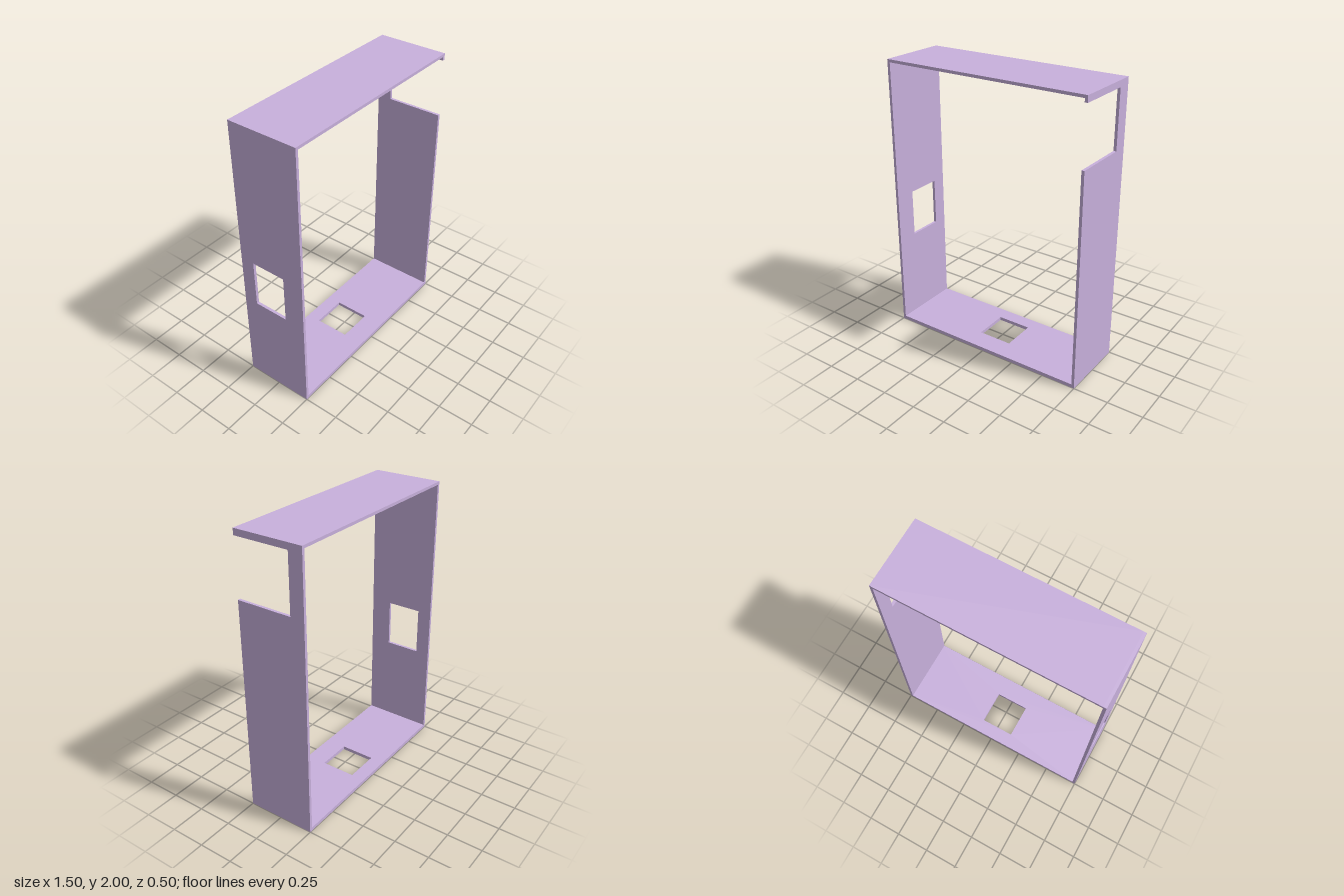
import * as THREE from 'three';

const W = 0.75, H = 2, D = 0.25, T = 0.02, FLOOR = 0.025;
const material = new THREE.MeshStandardMaterial({ color: 0xc8b0dc });

// Rectangle path from two corners
function rect(path, u0, v0, u1, v1) {
  path.moveTo(u0, v0);
  path.lineTo(u1, v0);
  path.lineTo(u1, v1);
  path.lineTo(u0, v1);
  path.closePath();
  return path;
}

// Flat rectangular plate with an optional rectangular hole
function plate(name, outer, hole, thickness) {
  const shape = rect(new THREE.Shape(), ...outer);
  if (hole) shape.holes.push(rect(new THREE.Path(), ...hole));
  const geometry = new THREE.ExtrudeGeometry(shape, { depth: thickness, bevelEnabled: false });
  const mesh = new THREE.Mesh(geometry, material);
  mesh.name = name;
  return mesh;
}

// Upright side plate: outline in (-z, y), thickness along +x from x0
function sidePlate(name, x0, [zBack, y0, zFront, y1], hole) {
  const flip = ([b, lo, f, hi]) => [-f, lo, -b, hi];
  const mesh = plate(name, flip([zBack, y0, zFront, y1]), hole && flip(hole), T);
  mesh.rotation.y = Math.PI / 2;
  mesh.position.x = x0;
  return mesh;
}

// Level plate: outline in (x, -z), thickness along +y from y0
function levelPlate(name, y0, thickness, x0, x1, hole) {
  const mesh = plate(name, [x0, -D, x1, D], hole, thickness);
  mesh.rotation.x = -Math.PI / 2;
  mesh.position.y = y0;
  return mesh;
}

export function createModel() {
  const group = new THREE.Group();
  group.name = 'openFrame';

  // Floor with a square opening, and the plain top
  group.add(levelPlate('floor', 0, FLOOR, -W, W, [-0.125, -0.1, 0.125, 0.15]));
  group.add(levelPlate('top', H - T, T, -W + T, W));

  // Closed side with a window
  group.add(sidePlate('windowWall', -W, [-D, FLOOR, D, H], [-0.15, 0.665, 0.1, 1.005]));

  // Notched side: full-height back post, front panel and a short lip under the top
  const xIn = W - T, seam = -0.15;
  group.add(sidePlate('backPost', xIn, [-D, FLOOR, seam, H - T]));
  group.add(sidePlate('sidePanel', xIn, [seam, FLOOR, D, 1.55]));
  group.add(sidePlate('topLip', xIn, [seam, 1.955, D, H - T]));

  return group;
}
